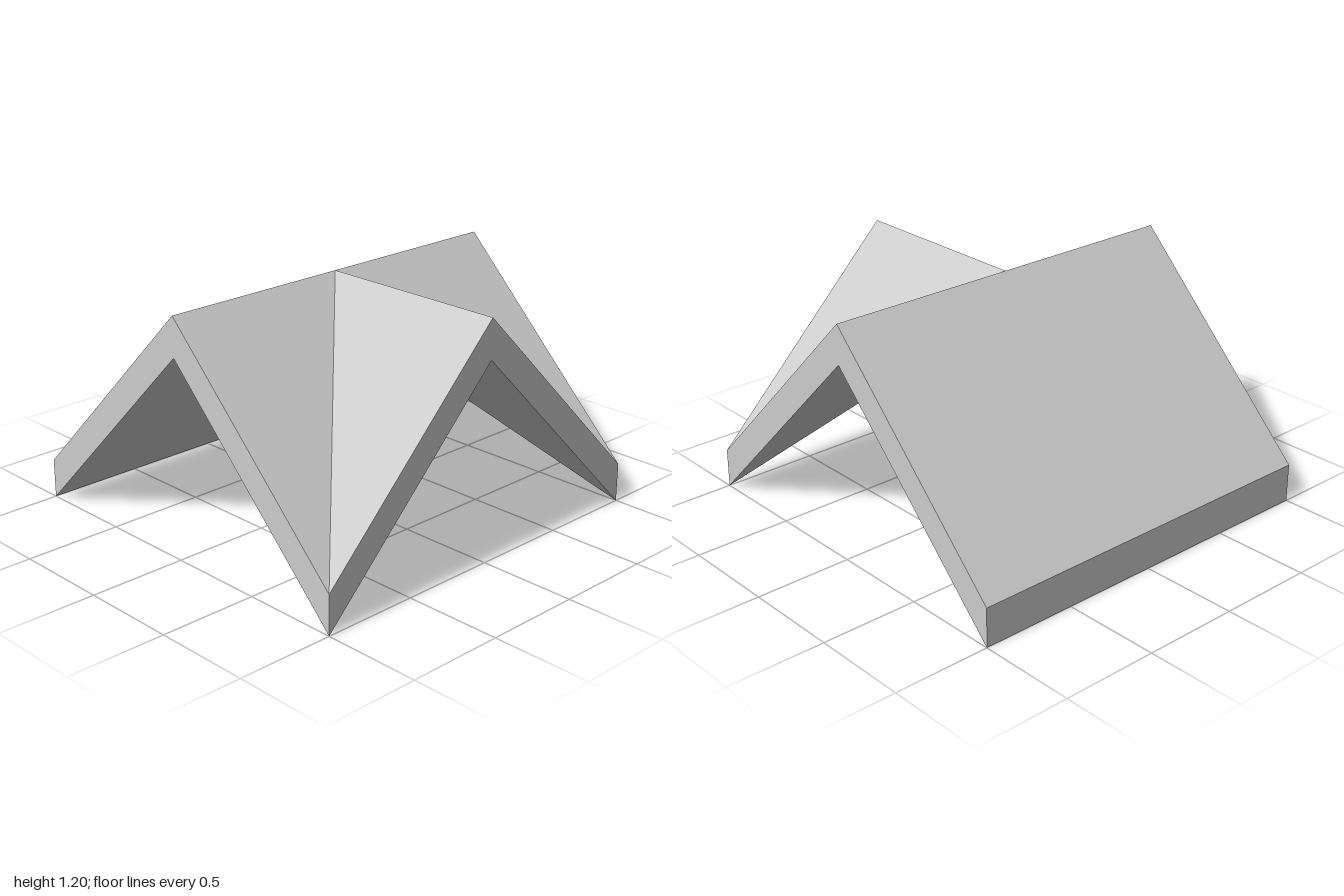
import * as THREE from 'three';

const THICKNESS = 0.2;

// Underside height: main ridge along x, plus a front gable ridge along +z
const under = (x, z) => (z < 0 ? 1 + z : Math.max(1 - z, 1 - Math.abs(x)));

// Sloped panel from a plan outline [x, z] (counter-clockwise seen from above);
// only the listed outline edges get a fascia, the others join a neighbour.
function panel(name, plan, openEdges, material) {
  const bottom = plan.map(([x, z]) => [x, under(x, z), z]);
  const top = bottom.map(([x, y, z]) => [x, y + THICKNESS, z]);
  const pos = [];
  const face = (...p) => {
    for (let i = 1; i < p.length - 1; i++) pos.push(...p[0], ...p[i], ...p[i + 1]);
  };
  face(...top);
  face(...[...bottom].reverse());
  for (const i of openEdges) {
    const j = (i + 1) % plan.length;
    face(bottom[i], bottom[j], top[j], top[i]);
  }
  const geometry = new THREE.BufferGeometry();
  geometry.setAttribute('position', new THREE.Float32BufferAttribute(pos, 3));
  geometry.computeVertexNormals();
  const mesh = new THREE.Mesh(geometry, material);
  mesh.name = name;
  return mesh;
}

export function createModel() {
  const group = new THREE.Group();
  group.name = 'roof';
  const material = new THREE.MeshStandardMaterial({ color: 0xcccccc, flatShading: true });

  // Full-width back slope
  group.add(panel('backSlope', [[-1, -1], [-1, 0], [1, 0], [1, -1]], [0, 2, 3], material));

  // Front slopes and gable slopes, meeting in valleys towards the front corners
  for (const [side, s] of [['left', 1], ['right', -1]]) {
    const mirror = ([a, b, c]) => (s > 0 ? [a, b, c] : [a, c, b]).map(([x, z]) => [x * s, z]);
    group.add(panel(side + 'FrontSlope', mirror([[0, 0], [1, 1], [1, 0]]), [1], material));
    group.add(panel(side + 'GableSlope', mirror([[0, 0], [0, 1], [1, 1]]), [1], material));
  }
  return group;
}
